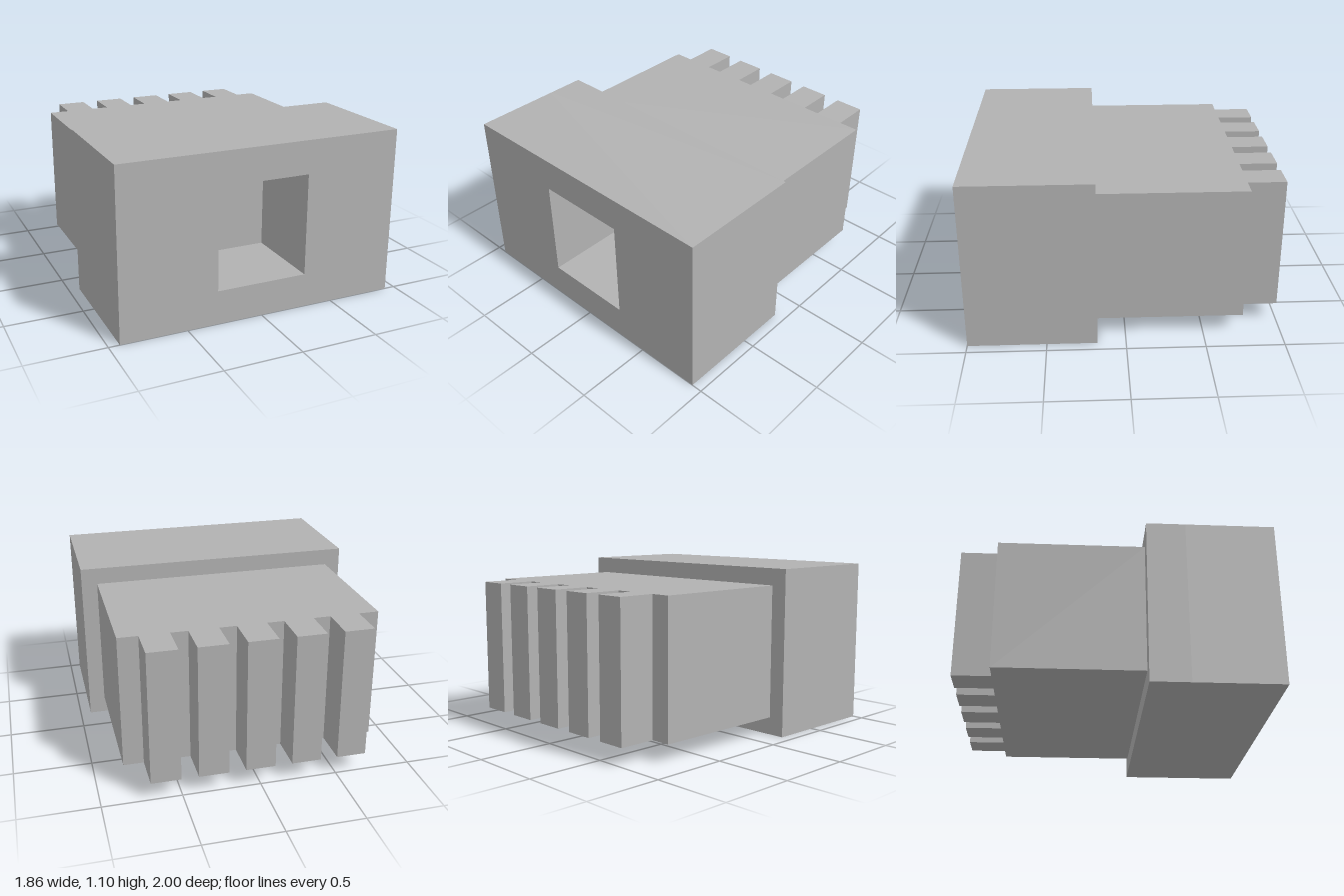
import * as THREE from 'three';

const grey = new THREE.MeshStandardMaterial({ color: 0xb2b2b2 });
grey.name = 'plain grey';

// Box given by its lower and upper bounds on each axis
function block(name, [x0, x1], [y0, y1], [z0, z1]) {
  const mesh = new THREE.Mesh(new THREE.BoxGeometry(x1 - x0, y1 - y0, z1 - z0), grey);
  mesh.position.set((x0 + x1) / 2, (y0 + y1) / 2, (z0 + z1) / 2);
  mesh.name = name;
  return mesh;
}

// Rectangle outline for shapes and holes
function rectangle(PathType, x, y0, y1) {
  const path = new PathType();
  path.moveTo(-x, y0).lineTo(x, y0).lineTo(x, y1).lineTo(-x, y1).closePath();
  return path;
}

export function createModel() {
  const model = new THREE.Group();
  model.name = 'finnedSocketBlock';

  const frontZ = 1, pocketZ = 0.43, headBackZ = 0.18, bodyBackZ = -0.755;
  const headX = 0.93, headTop = 1.095;
  const bodyY = [0.115, 0.985];

  // Front head with a square blind pocket
  const face = rectangle(THREE.Shape, headX, 0, headTop);
  face.holes.push(rectangle(THREE.Path, 0.3, 0.22, 0.88));
  const head = new THREE.Mesh(
    new THREE.ExtrudeGeometry(face, { depth: frontZ - pocketZ, bevelEnabled: false }), grey);
  head.position.z = pocketZ;
  head.name = 'headWithPocket';
  model.add(head);

  // Solid rear of the head closes the pocket
  model.add(block('headRear', [-headX, headX], [0, headTop], [headBackZ, pocketZ]));

  // Narrower body behind the head
  model.add(block('body', [-0.825, 0.825], bodyY, [bodyBackZ, headBackZ]));

  // Five full-height fins across the back
  const fins = new THREE.Group();
  fins.name = 'rearFins';
  for (let i = -2; i <= 2; i++) {
    const x = i * 0.3;
    fins.add(block('fin', [x - 0.095, x + 0.095], bodyY, [-1, bodyBackZ]));
  }
  model.add(fins);

  return model;
}
